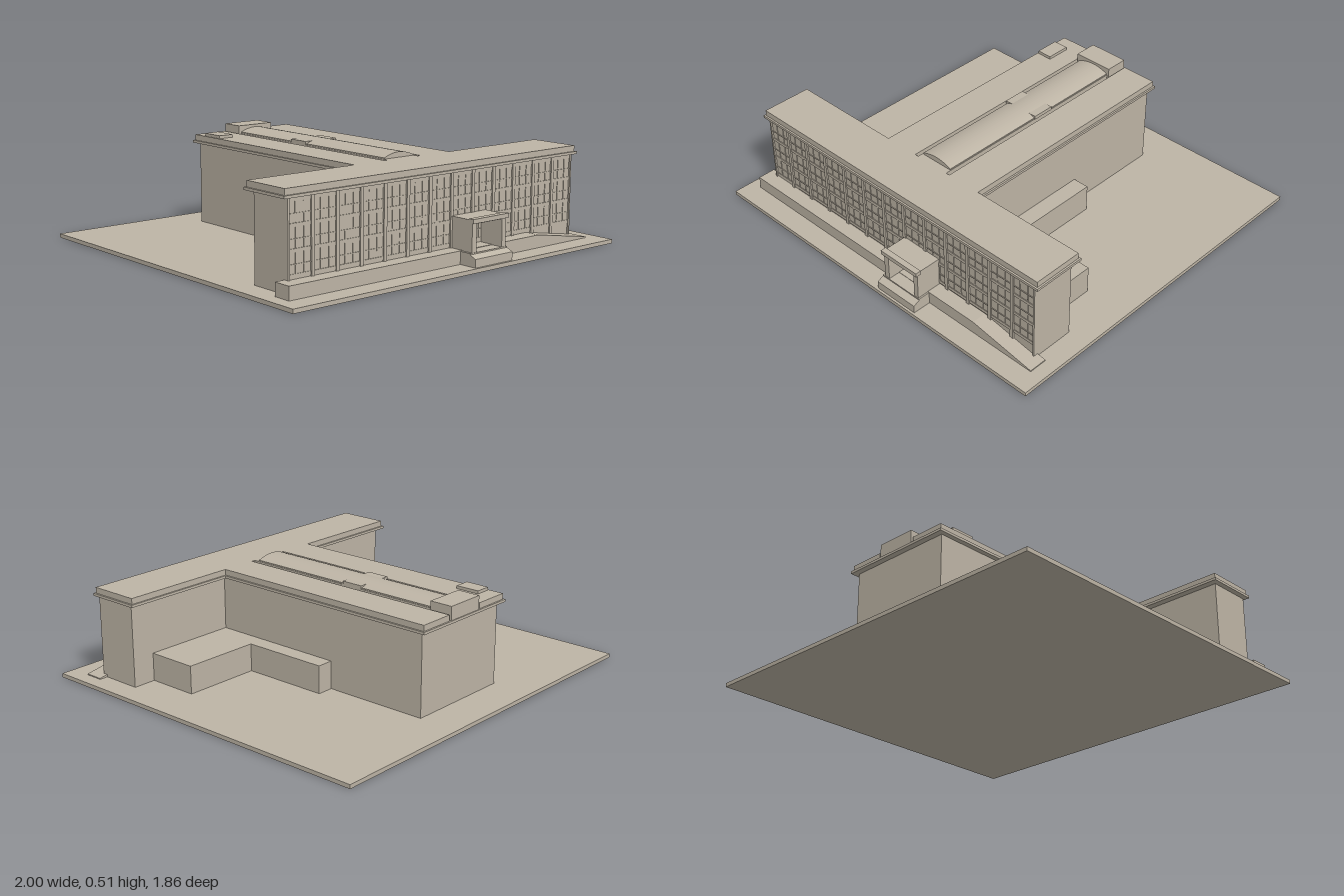
import * as THREE from 'three';

export function createModel() {
  const model = new THREE.Group();
  const stone = new THREE.MeshStandardMaterial({ color: 0xbdb4a5 });
  stone.name = 'stone';

  const add = (name, geometry, parent = model) => {
    const mesh = new THREE.Mesh(geometry, stone);
    mesh.name = name;
    parent.add(mesh);
    return mesh;
  };
  // box from its limits on each axis
  const box = (name, x0, x1, y0, y1, z0, z1, parent) =>
    add(name, new THREE.BoxGeometry(x1 - x0, y1 - y0, z1 - z0), parent)
      .position.set((x0 + x1) / 2, (y0 + y1) / 2, (z0 + z1) / 2);
  const group = (name) => {
    const g = new THREE.Group();
    g.name = name;
    model.add(g);
    return g;
  };
  const extrude = (points, depth) => new THREE.ExtrudeGeometry(
    new THREE.Shape(points.map(([x, y]) => new THREE.Vector2(x, y))),
    { depth, bevelEnabled: false });

  // ground and main volumes
  box('groundSlab', -1, 1, 0, 0.02, -0.93, 0.93);
  box('frontBlock', -0.885, 0.885, 0.02, 0.44, 0.525, 0.747);
  box('rearWing', -0.285, 0.28, 0.02, 0.44, -0.725, 0.525);
  box('sideAnnex', 0.28, 0.365, 0.02, 0.16, -0.185, 0.263);
  box('cornerAnnex', 0.28, 0.765, 0.02, 0.16, 0.263, 0.525);

  // facade: shallow piers, floor bands and glazing bars
  const facade = group('facade');
  const bays = 13, bay = 1.77 / bays;
  for (let i = 0; i <= bays; i++) {
    const x = -0.885 + i * bay;
    box('pier', Math.max(x - 0.009, -0.885), Math.min(x + 0.009, 0.885),
      0.02, 0.436, 0.747, 0.755, facade);
  }
  for (let i = 0; i < 7; i++) {
    const y = 0.09 + i * 0.054;
    box('floorBand', -0.885, 0.885, y, y + (i % 2 ? 0.004 : 0.016), 0.747, 0.7505, facade);
  }
  for (let i = 0; i < bays; i++) for (const f of [1 / 3, 2 / 3]) {
    const x = -0.885 + (i + f) * bay;
    box('glazingBar', x - 0.002, x + 0.002, 0.09, 0.436, 0.747, 0.75, facade);
  }

  // two-step roof: wide cornice below, inset parapet above
  const roof = group('roof');
  for (const [y0, y1, d] of [[0.433, 0.446, 0], [0.446, 0.475, 0.009]]) {
    box('frontRoof', -0.912 + d, 0.91 - d, y0, y1, 0.49 + d, 0.767 - d, roof);
    box('wingRoofRight', -0.31 + d, -0.107 - d, y0, y1, -0.755 + d, 0.49 + d, roof);
    box('wingRoofLeft', 0.102 + d, 0.305 - d, y0, y1, -0.755 + d, 0.49 + d, roof);
  }
  box('cornerInfill', -0.107, 0.102, 0.433, 0.446, -0.755, 0.49, roof);
  box('skylightBase', -0.096, 0.091, 0.44, 0.475, -0.64, 0.499, roof);

  // shallow barrel skylight with vent pads at each side
  const arch = [[-0.092, 0.474]];
  for (let i = 0; i <= 16; i++) {
    const t = i / 8 - 1;
    arch.push([-0.002 + t * 0.09, 0.481 + 0.02 * (1 - t * t)]);
  }
  arch.push([0.088, 0.474]);
  add('barrelSkylight', extrude(arch, 1.1)).position.z = -0.63;
  for (const s of [-1, 1]) {
    const x = -0.002 + s * 0.077;
    box('skylightVent', x - 0.02, x + 0.02, 0.475, 0.493, -0.21, -0.095);
  }
  box('roofPlantRoom', -0.107, 0.102, 0.446, 0.514, -0.75, -0.63);
  box('roofHatch', -0.295, -0.215, 0.475, 0.49, -0.665, -0.54);

  // front terrace running down into a ramp
  const terrace = extrude(
    [[-0.935, 0.02], [0.93, 0.02], [0.93, 0.025], [0.58, 0.083], [-0.935, 0.083]], 0.093);
  add('terraceAndRamp', terrace).position.z = 0.73;

  // entrance steps, profile swept along x
  const steps = extrude([[-0.75, 0.02], [-0.75, 0.081], [-0.885, 0.081], [-0.885, 0.075],
    [-0.918, 0.06], [-0.918, 0.02]].reverse(), 0.242);
  steps.rotateY(Math.PI / 2);
  add('entranceSteps', steps).position.x = 0.056;

  // entrance porch
  const porch = group('entrancePorch');
  box('porchWall', 0.07, 0.098, 0.08, 0.217, 0.75, 0.882, porch);
  box('porchWall', 0.264, 0.29, 0.08, 0.217, 0.75, 0.882, porch);
  box('porchRoof', 0.068, 0.292, 0.213, 0.232, 0.75, 0.885, porch);
  box('porchCornice', 0.064, 0.296, 0.217, 0.238, 0.865, 0.895, porch);

  return model;
}
